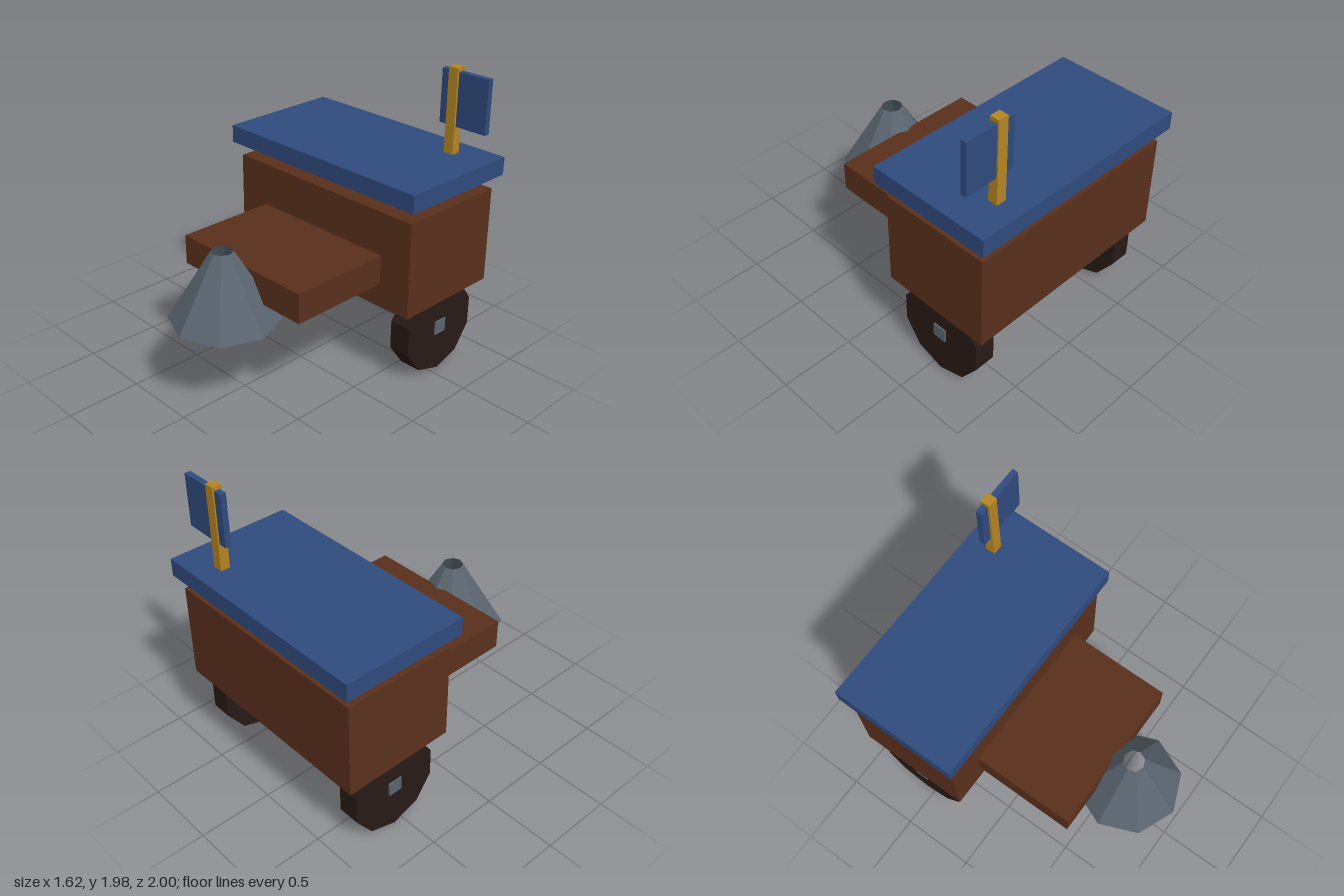
import * as THREE from 'three';

const mat = (color, side = THREE.FrontSide) =>
  new THREE.MeshStandardMaterial({ color, flatShading: true, side });

export function createModel() {
  const model = new THREE.Group();
  model.name = 'cart';
  const brown = mat(0x5a301c), blue = mat(0x2f4b7e), gold = mat(0xb58524);
  const dark = mat(0x271a14), steel = mat(0x5a6570);

  const add = (name, geometry, material, x, y, z) => {
    const mesh = new THREE.Mesh(geometry, material);
    mesh.name = name;
    mesh.position.set(x, y, z);
    model.add(mesh);
    return mesh;
  };
  // Box given by its extents along each axis
  const box = (name, material, [x0, x1], [y0, y1], [z0, z1]) =>
    add(name, new THREE.BoxGeometry(x1 - x0, y1 - y0, z1 - z0), material,
      (x0 + x1) / 2, (y0 + y1) / 2, (z0 + z1) / 2);

  // Body, front shelf and the roof floating above
  box('body', brown, [-0.765, 0.765], [0.55, 1.205], [-0.955, -0.18]);
  box('frontShelf', brown, [-0.53, 0.53], [0.71, 0.91], [-0.18, 0.52]);
  box('roof', blue, [-0.81, 0.81], [1.3, 1.42], [-1, -0.135]);

  // Flag on its post
  box('flagPost', gold, [0.49, 0.56], [1.42, 1.985], [-0.855, -0.79]);
  box('flag', blue, [0.43, 0.785], [1.605, 1.96], [-0.845, -0.805]);

  // Axle and ten-sided wheels, each resting on a corner
  box('axle', steel, [-0.73, 0.73], [0.278, 0.374], [-0.615, -0.517]);
  const wheel = new THREE.CylinderGeometry(0.32, 0.32, 0.15, 10, 1, false, -Math.PI / 2)
    .rotateZ(Math.PI / 2);
  for (const side of [-1, 1]) {
    add(side > 0 ? 'leftWheel' : 'rightWheel', wheel, dark, side * 0.645, 0.325, -0.566);
  }

  // Open funnel at the front
  add('funnel', new THREE.CylinderGeometry(0.07, 0.355, 0.46, 8, 1, true),
    mat(0x5a6570, THREE.DoubleSide), 0, 0.81, 0.645);

  return model;
}
